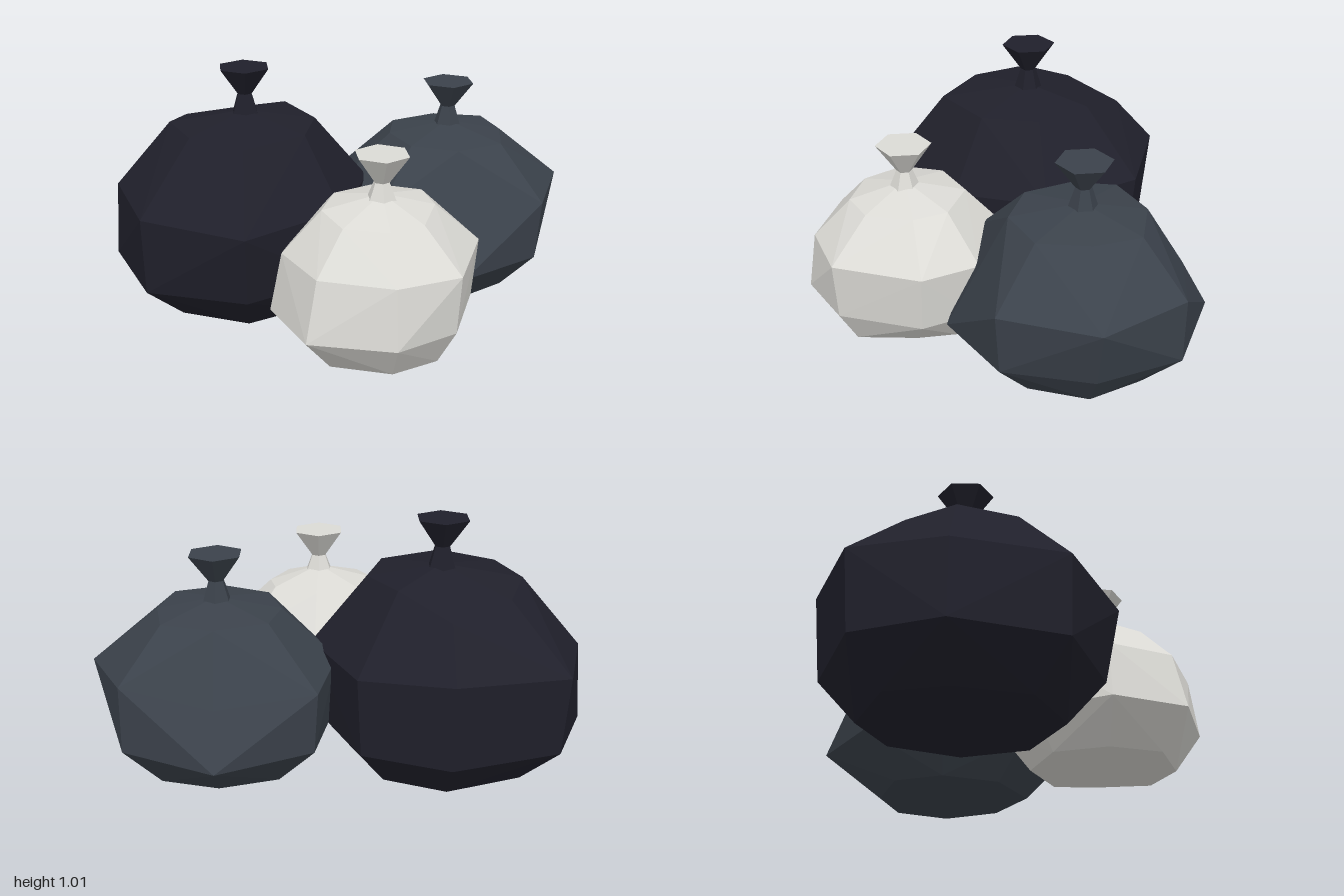
import * as THREE from 'three';
import { ConvexGeometry } from 'three/addons/geometries/ConvexGeometry.js';

const mat = (name, color) => {
  const m = new THREE.MeshStandardMaterial({ color, flatShading: true });
  m.name = name;
  return m;
};

// Lumpy faceted sack: each ring holds heights (one, or one per column) and
// radii for the columns, which run from the front (+z) turning towards +x
function sackGeometry(angles, rings, topY) {
  const points = [new THREE.Vector3(0, topY, 0)];
  for (const { y, r } of rings) {
    r.forEach((radius, k) => {
      const a = THREE.MathUtils.degToRad(angles[k]);
      const height = Array.isArray(y) ? y[k] : y;
      points.push(new THREE.Vector3(Math.sin(a) * radius, height, Math.cos(a) * radius));
    });
  }
  return new ConvexGeometry(points);
}

// Hexagonal frustum between two heights
function frustum(name, rTop, rBottom, y0, y1, material) {
  const m = new THREE.Mesh(new THREE.CylinderGeometry(rTop, rBottom, y1 - y0, 6), material);
  m.position.y = (y0 + y1) / 2;
  m.name = name;
  return m;
}

function bag({ name, x, z, angles, rings, topY, pinchY, tipY, material }) {
  const g = new THREE.Group();
  g.name = name;
  const sack = new THREE.Mesh(sackGeometry(angles, rings, topY), material);
  sack.name = 'sack';
  g.add(
    sack,
    frustum('gatheredNeck', 0.033, 0.065, topY - 0.03, pinchY, material),
    frustum('flaredTop', 0.115, 0.033, pinchY, tipY, material),
  );
  g.position.set(x, 0, z);
  return g;
}

export function createModel() {
  const model = new THREE.Group();
  model.name = 'tiedBags';

  model.add(
    bag({
      name: 'largeBag', x: -0.417, z: -0.19, topY: 0.82, pinchY: 0.895, tipY: 1.01,
      material: mat('black plastic', 0x20202b),
      angles: [-4, 45, 91, 141, 181, 228, 265, 311],
      rings: [
        { y: 0, r: [0.40, 0.38, 0.36, 0.38, 0.40, 0.42, 0.375, 0.40] },
        { y: 0.165, r: [0.55, 0.50, 0.50, 0.53, 0.55, 0.60, 0.585, 0.59] },
        { y: [0.47, 0.48, 0.49, 0.49, 0.52, 0.49, 0.49, 0.49], r: [0.61, 0.52, 0.53, 0.555, 0.58, 0.63, 0.565, 0.60] },
        { y: [0.765, 0.77, 0.77, 0.78, 0.71, 0.74, 0.77, 0.77], r: [0.38, 0.33, 0.30, 0.30, 0.41, 0.34, 0.325, 0.32] },
      ],
    }),
    bag({
      name: 'mediumBag', x: 0.487, z: -0.275, topY: 0.71, pinchY: 0.78, tipY: 0.89,
      material: mat('slate plastic', 0x3b424b),
      angles: [-2, 42, 89, 134, 182, 230, 270, 315],
      rings: [
        { y: 0, r: [0.37, 0.32, 0.31, 0.31, 0.28, 0.32, 0.32, 0.34] },
        { y: [0.17, 0.18, 0.17, 0.19, 0.19, 0.18, 0.17, 0.17], r: [0.535, 0.49, 0.43, 0.49, 0.535, 0.51, 0.45, 0.49] },
        { y: [0.41, 0.44, 0.44, 0.46, 0.40, 0.43, 0.45, 0.44], r: [0.41, 0.515, 0.51, 0.49, 0.42, 0.53, 0.48, 0.50] },
        { y: 0.66, r: [0.29, 0.29, 0.24, 0.28, 0.26, 0.28, 0.26, 0.28] },
      ],
    }),
    bag({
      name: 'smallBag', x: 0.085, z: 0.393, topY: 0.635, pinchY: 0.685, tipY: 0.8,
      material: mat('pale plastic', 0xdbdad5),
      angles: [0, 40, 95, 130, 178, 225, 270, 313],
      rings: [
        { y: 0, r: [0.31, 0.30, 0.23, 0.29, 0.30, 0.31, 0.29, 0.32] },
        { y: 0.155, r: [0.42, 0.39, 0.385, 0.40, 0.42, 0.42, 0.45, 0.46] },
        { y: 0.4, r: [0.385, 0.41, 0.41, 0.425, 0.42, 0.40, 0.40, 0.395] },
        { y: [0.56, 0.56, 0.57, 0.58, 0.58, 0.58, 0.575, 0.56], r: [0.23, 0.22, 0.22, 0.25, 0.25, 0.24, 0.24, 0.24] },
      ],
    }),
  );
  return model;
}
